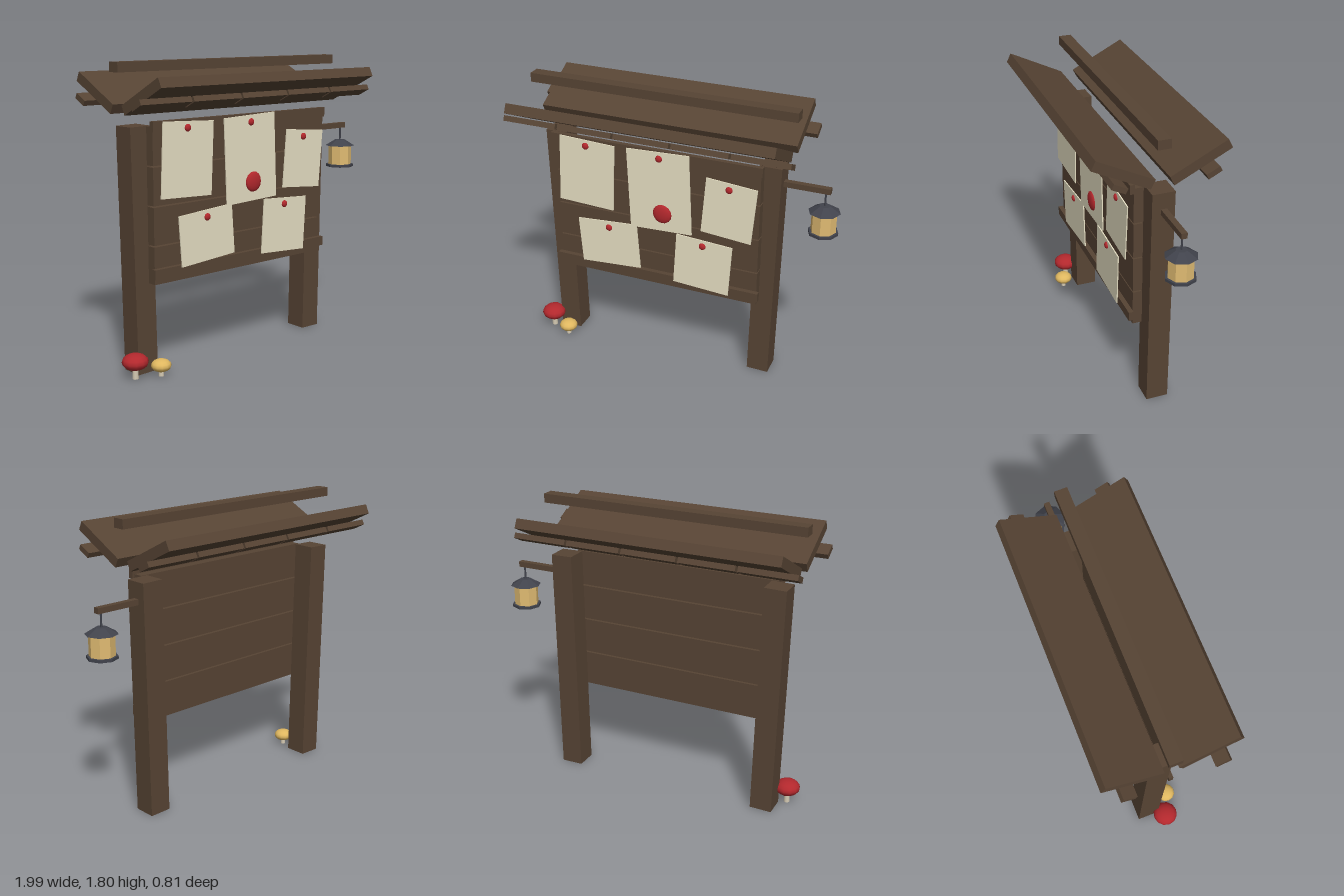
import * as THREE from 'three';

const mat = (name, color, flatShading = false) => {
  const m = new THREE.MeshStandardMaterial({ color, flatShading });
  m.name = name;
  return m;
};

export function createModel() {
  const wood = mat('dark wood', 0x574434);
  const paper = mat('parchment', 0xe6dfc3);
  const red = mat('red', 0xb3282d);
  const iron = mat('iron', 0x41434c, true);
  const glow = mat('lantern glass', 0xe0bb72, true);
  const yellow = mat('yellow cap', 0xe0b860);
  const stemMat = mat('mushroom stem', 0xd6cbb4);

  const model = new THREE.Group();
  model.name = 'noticeBoard';

  const add = (name, geometry, material, x, y, z, parent = model) => {
    const mesh = new THREE.Mesh(geometry, material);
    mesh.name = name;
    mesh.position.set(x, y, z);
    parent.add(mesh);
    return mesh;
  };
  const box = (name, material, w, h, d, x, y, z, parent) =>
    add(name, new THREE.BoxGeometry(w, h, d), material, x, y, z, parent);
  const blob = (name, material, r, ry, rz, x, y, z, parent) => {
    const mesh = add(name, new THREE.SphereGeometry(1, 12, 8), material, x, y, z, parent);
    mesh.scale.set(r, ry, rz);
    return mesh;
  };

  // Posts, leaning slightly outwards
  box('leftPost', wood, 0.137, 1.44, 0.137, 0.568, 0.721, -0.035).rotation.z = -0.018;
  box('rightPost', wood, 0.137, 1.44, 0.137, -0.793, 0.721, -0.035).rotation.z = 0.018;

  // Back planks with narrow gaps
  for (let i = 0; i < 4; i++) {
    box('plank', wood, 1.32, 0.219, 0.058, -0.112, 0.648 + i * 0.228, 0.072);
  }

  // Top and bottom rails
  for (const y of [0.604, 1.445]) {
    box('rail', wood, 1.354, 0.058, 0.03, -0.113, y, 0.116);
  }

  // Pinned notices: x, y, width, height, tilt, pin y
  const notices = [
    [-0.553, 1.245, 0.365, 0.435, -0.045, 1.425],
    [-0.072, 1.207, 0.4, 0.52, 0.038, 1.425],
    [0.369, 1.165, 0.317, 0.362, -0.086, 1.304],
    [-0.414, 0.785, 0.4, 0.303, 0.07, 0.894],
    [0.208, 0.763, 0.36, 0.34, -0.062, 0.894],
  ];
  notices.forEach(([x, y, w, h, tilt, pinY], i) => {
    box('notice', paper, w, h, 0.007, x, y, 0.1345 + (i % 2) * 0.001).rotation.z = tilt;
    blob('pin', red, 0.022, 0.022, 0.013, x, pinY, 0.139);
  });
  blob('waxSeal', red, 0.062, 0.062, 0.02, -0.053, 1.063, 0.138);

  // Roof slabs rising outwards, with short battens below
  for (const side of [1, -1]) {
    const slope = -side * 0.463;
    box('roofSlab', wood, 1.642, 0.06, 0.374, -0.112, 1.622, side * 0.222).rotation.x = slope;
    for (let i = 0; i < 5; i++) {
      box('roofBatten', wood, 0.344, 0.033, 0.088, -0.828 + i * 0.358, 1.583, side * 0.268).rotation.x = slope;
    }
  }
  box('ridgeBeam', wood, 1.682, 0.056, 0.078, -0.113, 1.772, 0.002);

  // Hanging lantern on its arm
  const lantern = new THREE.Group();
  lantern.name = 'lantern';
  lantern.position.set(0.896, 0, -0.037);
  model.add(lantern);
  box('lanternArm', wood, 0.327, 0.034, 0.036, -0.133, 1.324, 0, lantern);
  const prism = (name, material, rTop, rBottom, y0, y1, sides = 8) =>
    add(name, new THREE.CylinderGeometry(rTop, rBottom, y1 - y0, sides), material, 0, (y0 + y1) / 2, 0, lantern);
  prism('lanternWire', iron, 0.006, 0.006, 1.22, 1.31, 6);
  prism('lanternRoof', iron, 0.033, 0.096, 1.187, 1.226);
  prism('lanternGlass', glow, 0.076, 0.076, 1.062, 1.188);
  prism('lanternBase', iron, 0.091, 0.091, 1.045, 1.062);

  // Mushrooms beside the post
  const mushroom = (name, material, x, z, r, ry, y, stemR) => {
    const group = new THREE.Group();
    group.name = name;
    group.position.set(x, 0, z);
    model.add(group);
    add('stem', new THREE.CylinderGeometry(stemR * 0.85, stemR, y, 8), stemMat, 0, y / 2, 0, group);
    blob('cap', material, r, ry, r, 0, y, 0, group);
  };
  mushroom('redMushroom', red, -0.894, 0.064, 0.078, 0.049, 0.102, 0.019);
  mushroom('yellowMushroom', yellow, -0.755, 0.124, 0.06, 0.038, 0.064, 0.016);

  return model;
}
